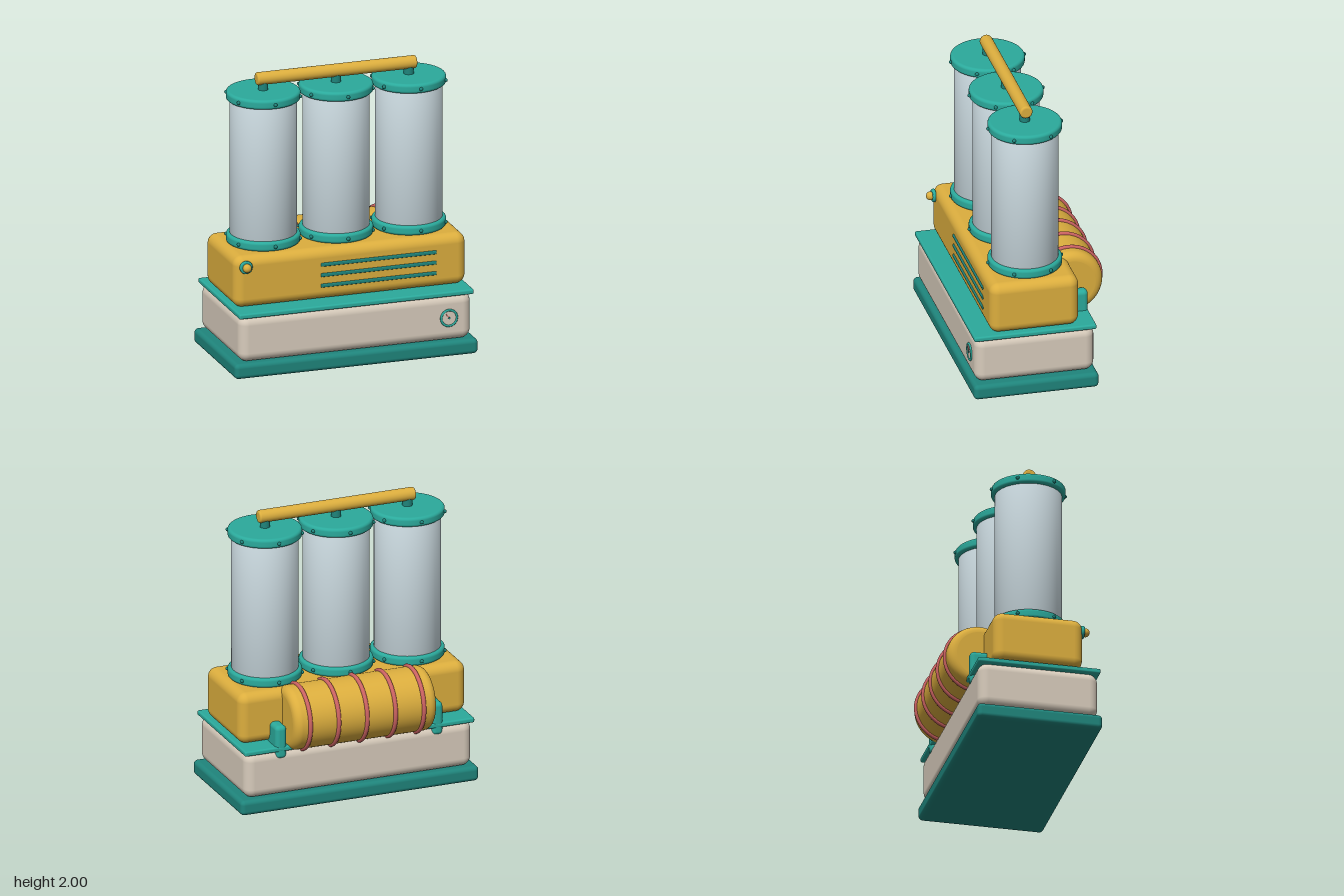
import * as THREE from 'three';
import { RoundedBoxGeometry } from 'three/addons/geometries/RoundedBoxGeometry.js';

const mat = (name, color) => {
  const m = new THREE.MeshStandardMaterial({ color });
  m.name = name;
  return m;
};

export function createModel() {
  const teal = mat('teal', 0x2baa9c);
  const darkTeal = mat('dark teal', 0x1f857c);
  const yellow = mat('mustard yellow', 0xdcae3e);
  const cream = mat('cream', 0xd8ccbc);
  const rose = mat('rose', 0xcb6262);
  const glass = mat('pale glass', 0xcad9df);

  const model = new THREE.Group();
  model.name = 'tripleTubeMachine';
  const Z = 0.065; // depth axis of the main stack

  const add = (name, geometry, material, x, y, z, parent = model) => {
    const mesh = new THREE.Mesh(geometry, material);
    mesh.name = name;
    mesh.position.set(x, y, z);
    parent.add(mesh);
    return mesh;
  };

  // Box given by its y and z extents
  const box = (name, material, x, w, y0, y1, z0, z1, r) =>
    add(name, new RoundedBoxGeometry(w, y1 - y0, z1 - z0, 5, r), material,
      x, (y0 + y1) / 2, (z0 + z1) / 2);

  // Upright cylinder with rounded rims
  const roundedCylinder = (r, h, b, sides = 48) => {
    const pts = [new THREE.Vector2(0, -h / 2), new THREE.Vector2(r - b - 0.002, -h / 2)];
    for (const s of [-1, 1]) {
      for (let i = 0; i <= 6; i++) {
        const a = (s < 0 ? i - 6 : i) / 6 * Math.PI / 2;
        pts.push(new THREE.Vector2(r - b + b * Math.cos(a), s * (h / 2 - b) + b * Math.sin(a)));
      }
    }
    pts.push(new THREE.Vector2(r - b - 0.002, h / 2), new THREE.Vector2(0, h / 2));
    return new THREE.LatheGeometry(pts, sides);
  };

  // Housing stack
  box('base', darkTeal, 0, 1.72, 0, 0.105, -0.363, 0.495, 0.03);
  box('lowerHousing', cream, 0, 1.64, 0.105, 0.43, -0.345, 0.477, 0.065);
  box('deckPlate', teal, 0, 1.66, 0.42, 0.455, -0.353, 0.488, 0.012);
  box('upperHousing', yellow, 0, 1.64, 0.455, 0.815, -0.24, 0.373, 0.065);

  // Vent slits
  for (const y of [0.705, 0.632, 0.558])
    box('ventSlit', darkTeal, 0.195, 0.82, y - 0.013, y + 0.013, 0.36, 0.381, 0.008);

  // Glass tubes with soft-shaded ends, bolted collars and handle posts
  const tubeProfile = [[0, 0.85], [0.225, 0.85], [0.225, 1.84], [0, 1.84]]
    .map(([x, y]) => new THREE.Vector2(x, y));
  const tubeGeo = new THREE.LatheGeometry(tubeProfile, 64);
  const collarGeo = roundedCylinder(0.25, 0.066, 0.02, 64);
  const boltGeo = new THREE.SphereGeometry(0.013, 12, 8);
  const postGeo = new THREE.CylinderGeometry(0.034, 0.034, 0.08, 24);
  for (const x of [-0.515, 0, 0.515]) {
    const tube = new THREE.Group();
    tube.name = 'tubeUnit';
    tube.position.set(x, 0, Z);
    model.add(tube);
    add('glassTube', tubeGeo, glass, 0, 0, 0, tube);
    for (const y of [0.847, 1.845]) {
      add('collar', collarGeo, teal, 0, y, 0, tube);
      for (let i = 0; i < 6; i++) {
        const a = i * Math.PI / 3;
        add('bolt', boltGeo, darkTeal, 0.252 * Math.sin(a), y, 0.252 * Math.cos(a), tube);
      }
    }
    add('handlePost', postGeo, darkTeal, 0, 1.905, 0, tube);
  }

  // Top handle bar
  add('handleBar', roundedCylinder(0.044, 1.13, 0.014, 32), yellow, 0, 1.956, Z)
    .rotation.z = Math.PI / 2;

  // Rear tank with coil rings and brackets
  const tankY = 0.62, tankZ = -0.26;
  add('rearTank', roundedCylinder(0.22, 1.03, 0.055, 64), yellow, 0, tankY, tankZ)
    .rotation.z = Math.PI / 2;
  const ringGeo = new THREE.TorusGeometry(0.222, 0.015, 12, 64);
  for (let i = -2; i <= 2; i++)
    add('coilRing', ringGeo, rose, i * 0.205, tankY, tankZ).rotation.y = Math.PI / 2;
  for (const s of [-1, 1])
    box('tankBracket', teal, s * 0.565, 0.08, 0.365, 0.6, -0.352, -0.18, 0.03);

  // Front knob
  add('knobCollar', roundedCylinder(0.045, 0.024, 0.008, 32), teal, -0.745, 0.747, 0.379)
    .rotation.x = Math.PI / 2;
  add('knobNeck', new THREE.CylinderGeometry(0.018, 0.018, 0.03, 20), yellow, -0.745, 0.747, 0.39)
    .rotation.x = Math.PI / 2;
  add('knob', new THREE.SphereGeometry(0.03, 24, 16), yellow, -0.745, 0.747, 0.4);

  // Pressure gauge
  const gauge = new THREE.Group();
  gauge.name = 'gauge';
  gauge.position.set(0.655, 0.27, 0.477);
  model.add(gauge);
  add('gaugeRim', new THREE.TorusGeometry(0.055, 0.008, 10, 40), teal, 0, 0, 0.004, gauge);
  add('gaugeFace', new THREE.CylinderGeometry(0.054, 0.054, 0.008, 40), cream, 0, 0, 0.002, gauge)
    .rotation.x = Math.PI / 2;
  add('gaugeNeedle', new THREE.BoxGeometry(0.007, 0.045, 0.005), rose, -0.009, 0.012, 0.008, gauge)
    .rotation.z = 0.6;
  add('needleHub', new THREE.CylinderGeometry(0.007, 0.007, 0.006, 16), darkTeal, 0, 0, 0.009, gauge)
    .rotation.x = Math.PI / 2;

  return model;
}
